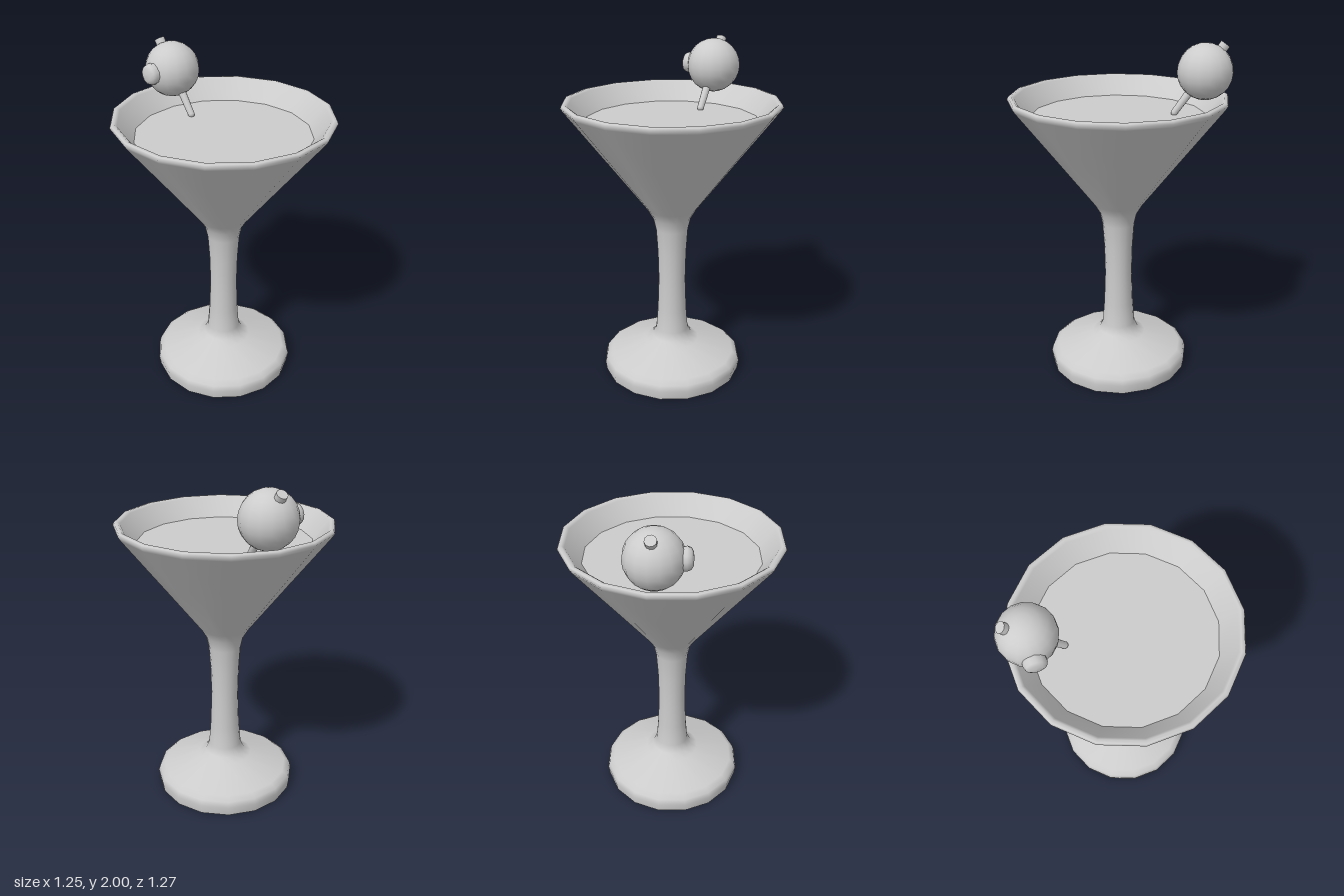
import * as THREE from 'three';

const SIDES = 16;
const CENTRE_Z = 0.012;

export function createModel() {
  const group = new THREE.Group();
  const grey = new THREE.MeshStandardMaterial({ color: 0xcccccc });
  grey.name = 'light grey';

  const add = (name, geometry, x = 0, y = 0, z = CENTRE_Z) => {
    const mesh = new THREE.Mesh(geometry, grey);
    mesh.name = name;
    mesh.position.set(x, y, z);
    group.add(mesh);
    return mesh;
  };
  const lathe = (points, sides = SIDES) =>
    new THREE.LatheGeometry(points.map(([r, y]) => new THREE.Vector2(r, y)), sides);

  // Foot, stem, bowl, rounded rim and inner wall in one smooth profile
  add('glass', lathe([
    [0.42, 0], [0.428, 0.055], [0.418, 0.09], [0.385, 0.115],
    [0.165, 0.188], [0.122, 0.212], [0.1, 0.26], [0.089, 0.4], [0.082, 0.6],
    [0.086, 0.78], [0.096, 0.93], [0.112, 1.0], [0.148, 1.06],
    [0.38, 1.365], [0.612, 1.668], [0.624, 1.688], [0.618, 1.703],
    [0.6, 1.706], [0.585, 1.695], [0.5, 1.59], [0.1, 1.09], [0, 1.05],
  ]));

  // Flat underside of the foot
  const disc = (radius) => new THREE.CircleGeometry(radius, SIDES);
  add('footUnderside', disc(0.42).rotateX(Math.PI / 2), 0, 0);

  // Surface of the drink
  add('drink', disc(0.502).rotateX(-Math.PI / 2), 0, 1.59);

  // Olive resting by the back rim
  const olive = new THREE.Vector3(-0.011, 1.83, -0.475);
  add('olive', new THREE.SphereGeometry(0.159, 16, 12), ...olive);

  // Rounded stuffing plug on the side of the olive
  const up = new THREE.Vector3(0, 1, 0);
  const plugDirection = new THREE.Vector3(-0.97, 0.03, 0.13).normalize();
  const plug = add('stuffing', lathe([
    [0.06, -0.02], [0.062, 0.015], [0.054, 0.035], [0.034, 0.045], [0, 0.047],
  ], 12), ...olive.clone().addScaledVector(plugDirection, 0.147));
  plug.quaternion.setFromUnitVectors(up, plugDirection);

  // Tapered pick pushed through the olive
  const top = new THREE.Vector3(-0.021, 1.98, -0.585);
  const tip = new THREE.Vector3(0.001, 1.6, -0.305);
  const middle = top.clone().add(tip).multiplyScalar(0.5);
  const pick = add('pick',
    new THREE.CylinderGeometry(0.031, 0.02, top.distanceTo(tip), 10), ...middle);
  pick.quaternion.setFromUnitVectors(up, top.clone().sub(tip).normalize());
  add('pickTip', new THREE.SphereGeometry(0.02, 10, 6), ...tip);

  return group;
}
